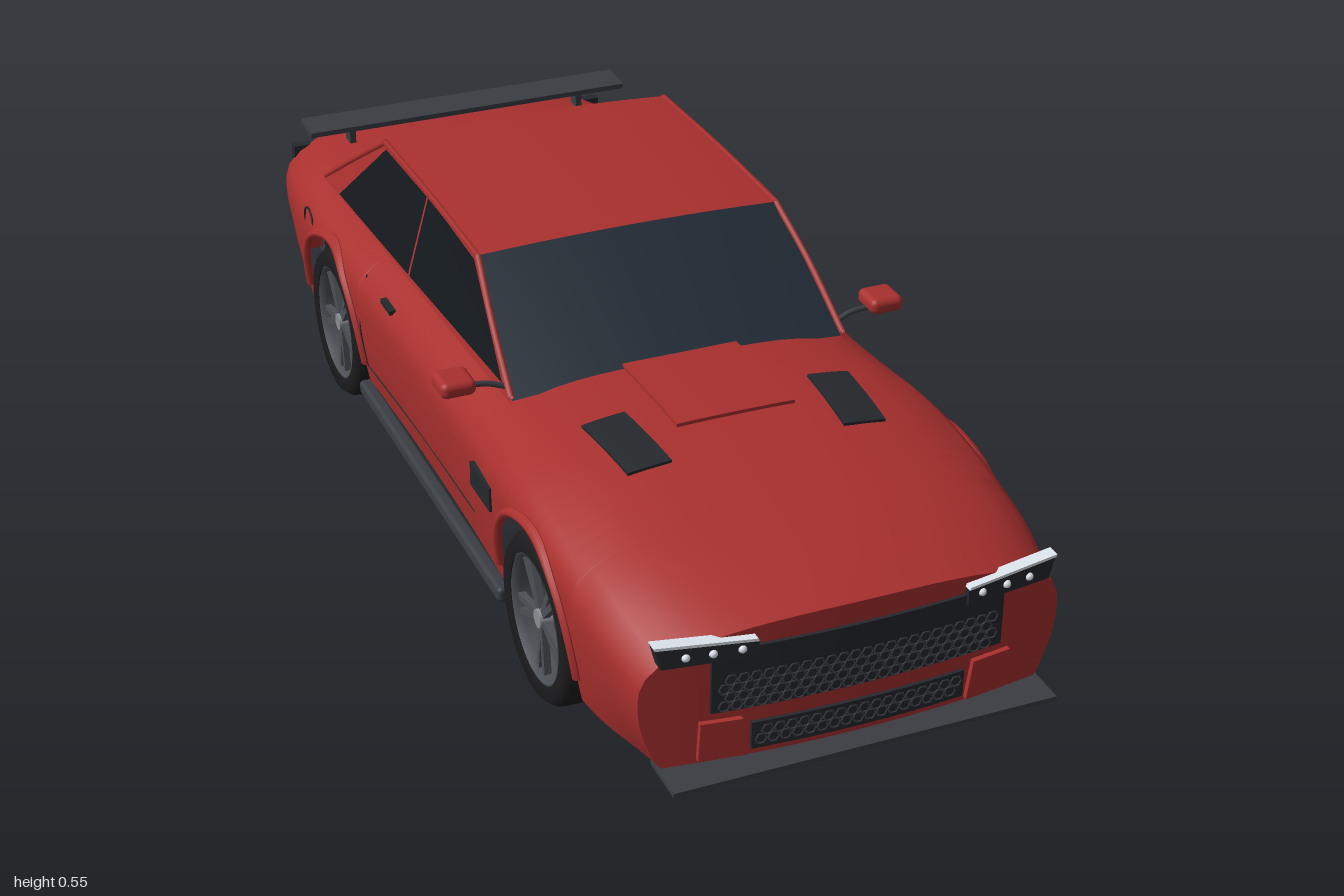
import * as THREE from 'three';
import { mergeGeometries } from 'three/addons/utils/BufferGeometryUtils.js';
import { RoundedBoxGeometry } from 'three/addons/geometries/RoundedBoxGeometry.js';

const paint = (color) => new THREE.MeshStandardMaterial({ color, side: THREE.DoubleSide });
const RED = paint(0xa8302e), DARK = paint(0x25282c), TRIM = paint(0x3a3d43), GLASS = paint(0x222c36);
const SIDEGLASS = paint(0x14191e), TYRE = paint(0x1c1c1e), RIM = paint(0x4c4f55), METAL = paint(0x8a8d92);
const LAMP = paint(0xdfe6ee), CALIPER = paint(0xc42a1c);
const lerp = THREE.MathUtils.lerp, smooth = THREE.MathUtils.smoothstep;
const WHEELS = [0.553, -0.536], AXLE = 0.147, ARCH = 0.17;

// Smooth curve through [z, value] pairs
function curve(pts, z) {
  let i = 0;
  while (i < pts.length - 2 && z > pts[i + 1][0]) i++;
  const slope = (k) => {
    const a = pts[Math.max(k - 1, 0)], b = pts[Math.min(k + 1, pts.length - 1)];
    return (b[1] - a[1]) / (b[0] - a[0]);
  };
  const [z0, v0] = pts[i], [z1, v1] = pts[i + 1], h = z1 - z0, t = (z - z0) / h;
  return v0 * (1 + 2 * t) * (1 - t) ** 2 + slope(i) * h * t * (1 - t) ** 2
    + v1 * t * t * (3 - 2 * t) + slope(i + 1) * h * t * t * (t - 1);
}
const WIDTH = [[-0.96, 0.35], [-0.8, 0.375], [-0.54, 0.386], [-0.2, 0.373], [0.2, 0.373], [0.55, 0.386], [0.8, 0.375], [0.96, 0.355]];
const TOP = [[-0.96, 0.375], [-0.85, 0.39], [-0.65, 0.392], [0.2, 0.4], [0.5, 0.41], [0.75, 0.386], [0.9, 0.358], [0.96, 0.342]];
const N = 2.7, CROWN = 0.12;
const width = (z) => curve(WIDTH, z), top = (z) => curve(TOP, z);
const round = (t) => Math.pow(Math.max(0, 1 - Math.pow(Math.min(t, 1), N)), 1 / N);
const topY = (x, z) => top(z) - CROWN + CROWN * round(Math.abs(x) / width(z));
function sideX(y, z) {
  const w = width(z), ys = top(z) - CROWN;
  if (y > ys) return w * round((y - ys) / CROWN);
  return w - (0.018 + 0.02 * smooth(Math.abs(z), 0.72, 0.96)) * ((ys - y) / (ys - 0.1)) ** 2;
}
// Nose and tail bow outward in plan
const bend = (x, z) => z - (smooth(z, 0.75, 0.96) * 0.03 - smooth(-z, 0.8, 0.96) * 0.012) * (x / width(z)) ** 2;
function lowY(z) {
  for (const wz of WHEELS) {
    const d = Math.abs(z - wz);
    if (d <= ARCH) return Math.max(0.105, AXLE + Math.sqrt(ARCH * ARCH - d * d));
  }
  return 0.1;
}

export function createModel() {
  const car = new THREE.Group();
  car.name = 'car';
  const add = (name, geo, mat, parent = car) => {
    const m = new THREE.Mesh(geo, mat);
    m.name = name;
    parent.add(m);
    return m;
  };
  const box = (name, w, h, d, x, y, z, mat) => {
    const m = add(name, new THREE.BoxGeometry(w, h, d), mat);
    m.position.set(x, y, z);
    return m;
  };
  // Smooth sheet through a grid of points
  const sheet = (name, rows, mat) => {
    const n = rows[0].length, idx = [];
    for (let i = 0; i < rows.length - 1; i++) for (let j = 0; j < n - 1; j++) {
      const a = i * n + j;
      idx.push(a, a + 1, a + n, a + 1, a + n + 1, a + n);
    }
    const g = new THREE.BufferGeometry();
    g.setAttribute('position', new THREE.Float32BufferAttribute(rows.flat(2), 3));
    g.setIndex(idx);
    g.computeVertexNormals();
    return add(name, g, mat);
  };
  const warp = (g, rule) => {
    const p = g.attributes.position, v = new THREE.Vector3();
    for (let i = 0; i < p.count; i++) { rule(v.fromBufferAttribute(p, i)); p.setXYZ(i, v.x, v.y, v.z); }
    g.computeVertexNormals();
    return g;
  };
  const rod = (name, pts, r, mat) => add(name, new THREE.TubeGeometry(
    new THREE.CatmullRomCurve3(pts.map((p) => new THREE.Vector3(...p))), 16, r, 6), mat);

  // Body shell, lofted along z with open wheel arches
  const half = (z) => {
    const low = lowY(z), yk = top(z) - 0.05, xk = sideX(yk, z), pts = [];
    for (let i = 0; i <= 9; i++) { const y = lerp(low, yk, i / 9); pts.push([sideX(y, z), y]); }
    for (let i = 1; i <= 9; i++) { const x = xk * (1 - i / 9); pts.push([x, topY(x, z)]); }
    return pts;
  };
  const zs = [];
  for (let i = 0; i <= 60; i++) zs.push(lerp(-0.96, 0.96, i / 60));
  for (const wz of WHEELS) {
    for (let i = 0; i <= 24; i++) zs.push(wz + ARCH * Math.cos(i / 24 * Math.PI));
    zs.push(wz - ARCH - 0.0005, wz + ARCH + 0.0005);
  }
  zs.sort((a, b) => a - b);
  sheet('bodyShell', zs.map((z) => {
    const h = half(z).map(([x, y]) => [x, y, bend(x, z)]);
    return [...h, ...h.slice(0, -1).reverse().map(([x, y, q]) => [-x, y, q])];
  }), RED);
  for (const [name, z] of [['noseFace', 0.96], ['tailFace', -0.96]]) {
    sheet(name, half(z).map(([x, y]) => Array.from({ length: 13 }, (_, k) => {
      const q = x * (k / 6 - 1);
      return [q, y, bend(q, z)];
    })), RED);
  }
  box('floor', 0.54, 0.015, 1.84, 0, 0.088, 0, DARK);

  // Cabin: sides, glass and roof
  const cabinX = (y, z) => lerp(lerp(0.338, 0.305, (z + 0.69) / 0.95), 0.28, (y - 0.385) / 0.15);
  const cabinSide = (name, pts, s, out, mat) => {
    const g = new THREE.ShapeGeometry(new THREE.Shape(pts.map((p) => new THREE.Vector2(...p))));
    add(name, warp(g, (v) => v.set(s * (cabinX(v.y, v.x) + out), v.y, v.x)), mat);
  };
  for (const s of [1, -1]) {
    cabinSide('cabinSide', [[0.27, 0.375], [0.035, 0.54], [-0.475, 0.538], [-0.7, 0.38]], s, 0, RED);
    cabinSide('doorWindow', [[0.225, 0.395], [0.03, 0.53], [-0.12, 0.535], [-0.218, 0.535], [-0.218, 0.388]], s, 0.003, SIDEGLASS);
    cabinSide('rearSideWindow', [[-0.225, 0.388], [-0.225, 0.535], [-0.455, 0.53], [-0.6, 0.385]], s, 0.003, SIDEGLASS);
    rod('frontPillar', [[s * 0.305, 0.385, 0.26], [s * 0.294, 0.47, 0.14], [s * 0.279, 0.538, 0.035]], 0.006, RED);
    rod('roofRail', [[s * 0.279, 0.538, 0.035], [s * 0.279, 0.541, -0.2], [s * 0.279, 0.535, -0.475]], 0.006, RED);
    rod('rearPillar', [[s * 0.279, 0.535, -0.475], [s * 0.308, 0.46, -0.585], [s * 0.336, 0.385, -0.69]], 0.006, RED);
  }
  // Each panel spans two cross lines: [half width, edge y, centre rise, z, forward bow]
  const panel = (name, a, b, mat) => sheet(name, Array.from({ length: 9 }, (_, i) => {
    const [w, y, rise, z, bow] = a.map((v, k) => lerp(v, b[k], i / 8));
    const arc = name === 'roof' ? 0.006 * Math.sin(i / 8 * Math.PI) : 0;
    return Array.from({ length: 17 }, (_, j) => {
      const u = j / 8 - 1, c = 1 - u * u;
      return [u * w, y + arc + rise * c, z + bow * c];
    });
  }), mat);
  panel('windscreen', [0.303, 0.378, 0.02, 0.26, 0.015], [0.28, 0.539, 0.012, 0.035, 0.01], GLASS);
  panel('roof', [0.28, 0.539, 0.012, 0.035, 0.01], [0.28, 0.537, 0.01, -0.475, 0], RED);
  panel('rearWindow', [0.279, 0.537, 0.01, -0.475, 0], [0.305, 0.388, 0.006, -0.69, 0], GLASS);

  // Pieces draped on the bonnet
  const drape = (name, w, h, d, x, z, skew, mat) => add(name, warp(new THREE.BoxGeometry(w, h, d, 8, 1, 8), (v) => {
    v.x += x + skew * v.z;
    v.z += z;
    v.y += topY(v.x, v.z);
  }), mat);
  drape('bonnetScoop', 0.21, 0.012, 0.24, 0, 0.37, 0, RED);
  for (const s of [1, -1]) drape('bonnetVent', 0.075, 0.01, 0.165, s * 0.195, 0.495, s * -0.08, DARK);

  // Grilles, lamps and bumper follow the bowed nose
  const noseZ = (x) => bend(x, 0.96);
  const grille = (name, w, h, y) => add(name, warp(new THREE.BoxGeometry(w, h, 0.012, 14, 1, 1), (v) => {
    v.y += y;
    v.z += noseZ(v.x);
  }), DARK);
  grille('upperGrille', 0.49, 0.11, 0.25);
  grille('lowerGrille', 0.36, 0.048, 0.141);
  const cells = [];
  const mesh = (cols, rows, y0) => {
    for (let r = 0; r < rows; r++) for (let c = 0; c < cols; c++) {
      const x = (c - (cols - 1) / 2 + (r % 2) / 2 - 0.25) * 0.02;
      cells.push(new THREE.TorusGeometry(0.0095, 0.0018, 4, 6).translate(x, y0 + r * 0.0155, noseZ(x) + 0.007));
    }
  };
  mesh(23, 4, 0.205);
  mesh(17, 2, 0.134);
  add('honeycomb', mergeGeometries(cells), TRIM);
  const nosePart = (name, pts, s, out, depth, mat) => {
    const shape = new THREE.Shape(pts.map(([x, y]) => new THREE.Vector2(s * x, y)));
    const g = new THREE.ExtrudeGeometry(shape, { depth, bevelEnabled: false });
    return add(name, warp(g, (v) => { v.z += noseZ(v.x) + out; }), mat);
  };
  for (const s of [1, -1]) {
    nosePart('headlamp', [[0.175, 0.29], [0.175, 0.318], [0.335, 0.33], [0.325, 0.292]], s, -0.01, 0.022, DARK);
    nosePart('lampStrip', [[0.175, 0.318], [0.177, 0.323], [0.337, 0.333], [0.335, 0.328]], s, -0.008, 0.022, LAMP);
    for (const x of [0.2, 0.245, 0.287]) {
      const bulb = add('lampBulb', new THREE.SphereGeometry(0.007, 12, 8), LAMP);
      bulb.position.set(s * x, 0.307, noseZ(x) + 0.01);
    }
    nosePart('bumperDuct', [[0.185, 0.11], [0.195, 0.178], [0.262, 0.18], [0.265, 0.112]], s, -0.005, 0.014, RED);
  }
  box('frontSplitter', 0.65, 0.008, 0.09, 0, 0.1, 0.955, TRIM);

  // Side details
  for (const s of [1, -1]) {
    const sill = add('sideSill', new RoundedBoxGeometry(0.026, 0.028, 0.77, 2, 0.008), TRIM);
    sill.position.set(s * 0.37, 0.092, 0.01);
    box('sideVent', 0.012, 0.045, 0.095, s * sideX(0.262, 0.315), 0.262, 0.315, DARK);
    box('doorHandle', 0.012, 0.009, 0.055, s * sideX(0.325, -0.235), 0.325, -0.235, DARK);
    const seam = (name, pts) => rod(name, pts.map(([z, y]) => [s * sideX(y, z), y, z]), 0.0015, DARK);
    seam('doorRearSeam', [[-0.36, 0.33], [-0.36, 0.23], [-0.35, 0.145]]);
    seam('doorLowerSeam', [[-0.35, 0.145], [-0.05, 0.152], [0.24, 0.165]]);
    const cap = add('fuelCap', new THREE.TorusGeometry(0.027, 0.002, 6, 28), DARK);
    cap.position.set(s * (sideX(0.3, -0.68) - 0.001), 0.3, -0.68);
    cap.rotation.y = Math.PI / 2;
    rod('mirrorStalk', [[s * 0.3, 0.392, 0.235], [s * 0.335, 0.403, 0.23], [s * 0.37, 0.407, 0.23]], 0.005, TRIM);
    const mirror = add('mirror', new RoundedBoxGeometry(0.062, 0.029, 0.065, 3, 0.012), RED);
    mirror.position.set(s * 0.393, 0.416, 0.228);
  }

  // Wheels with tyre, rim, twin spokes, brake disc and caliper
  const lathe = (pts) => new THREE.LatheGeometry(pts.map((p) => new THREE.Vector2(...p)), 48);
  const tyreProfile = [[0.11, -0.05], [0.134, -0.053], [0.144, -0.04]];
  for (const y of [-0.022, 0, 0.022]) {
    tyreProfile.push([0.146, y - 0.004], [0.141, y - 0.003], [0.141, y + 0.003], [0.146, y + 0.004]);
  }
  tyreProfile.push([0.144, 0.04], [0.134, 0.053], [0.11, 0.05]);
  for (const wz of WHEELS) for (const s of [1, -1]) {
    const wheel = new THREE.Group();
    wheel.name = 'wheel';
    wheel.position.set(s * 0.328, AXLE, wz);
    wheel.rotation.z = -s * Math.PI / 2;
    car.add(wheel);
    add('tyre', lathe(tyreProfile), TYRE, wheel);
    add('rim', lathe([[0.112, -0.05], [0.113, 0.046], [0.106, 0.05], [0.101, 0.035], [0.1, -0.05]]), RIM, wheel);
    add('brakeDisc', new THREE.CylinderGeometry(0.078, 0.078, 0.008, 32), TRIM, wheel);
    add('hub', new THREE.CylinderGeometry(0.016, 0.022, 0.06, 16).translate(0, 0.015, 0), METAL, wheel);
    for (let k = 0; k < 5; k++) for (const e of [-1, 1]) {
      const g = new THREE.BoxGeometry(0.094, 0.012, 0.011).translate(0.058, 0.034, 0);
      g.rotateY(k / 5 * Math.PI * 2 + Math.PI + e * 0.13);
      add('spoke', g, RIM, wheel);
    }
    box('brakeCaliper', 0.03, 0.045, 0.028, s * 0.338, AXLE + 0.066, wz + 0.043, CALIPER).rotation.x = 0.3;
    // Flared arch lip
    const lip = add('archFlare', new THREE.TorusGeometry(ARCH + 0.006, 0.008, 8, 40, Math.PI), RED);
    lip.geometry.rotateY(Math.PI / 2);
    warp(lip.geometry, (v) => { v.x = s * (v.x + sideX(AXLE + v.y, wz + v.z) + 0.002); });
    lip.position.set(0, AXLE, wz);
  }

  // Tail: lamps, plate, diffuser and spoiler
  for (const s of [1, -1]) {
    box('tailLampPanel', 0.18, 0.075, 0.02, s * 0.24, 0.3, -0.953, DARK);
    for (let k = 0; k < 4; k++) box('tailLamp', 0.022, 0.05, 0.008, s * (0.18 + k * 0.04), 0.3, -0.963, CALIPER);
    box('rearReflector', 0.06, 0.022, 0.012, s * 0.24, 0.165, -0.957, RED);
    box('spoilerStrut', 0.012, 0.04, 0.03, s * 0.24, 0.4, -0.84, TRIM);
  }
  box('plateFrame', 0.17, 0.06, 0.012, 0, 0.215, -0.96, DARK);
  box('plate', 0.145, 0.038, 0.008, 0, 0.215, -0.965, METAL);
  box('diffuser', 0.56, 0.035, 0.04, 0, 0.102, -0.958, TRIM);
  for (const x of [-0.27, -0.19, -0.095, 0, 0.095, 0.19, 0.27]) box('diffuserFin', 0.008, 0.05, 0.06, x, 0.102, -0.97, TRIM);
  box('spoiler', 0.66, 0.01, 0.07, 0, 0.42, -0.842, TRIM).rotation.x = 0.06;
  return car;
}
